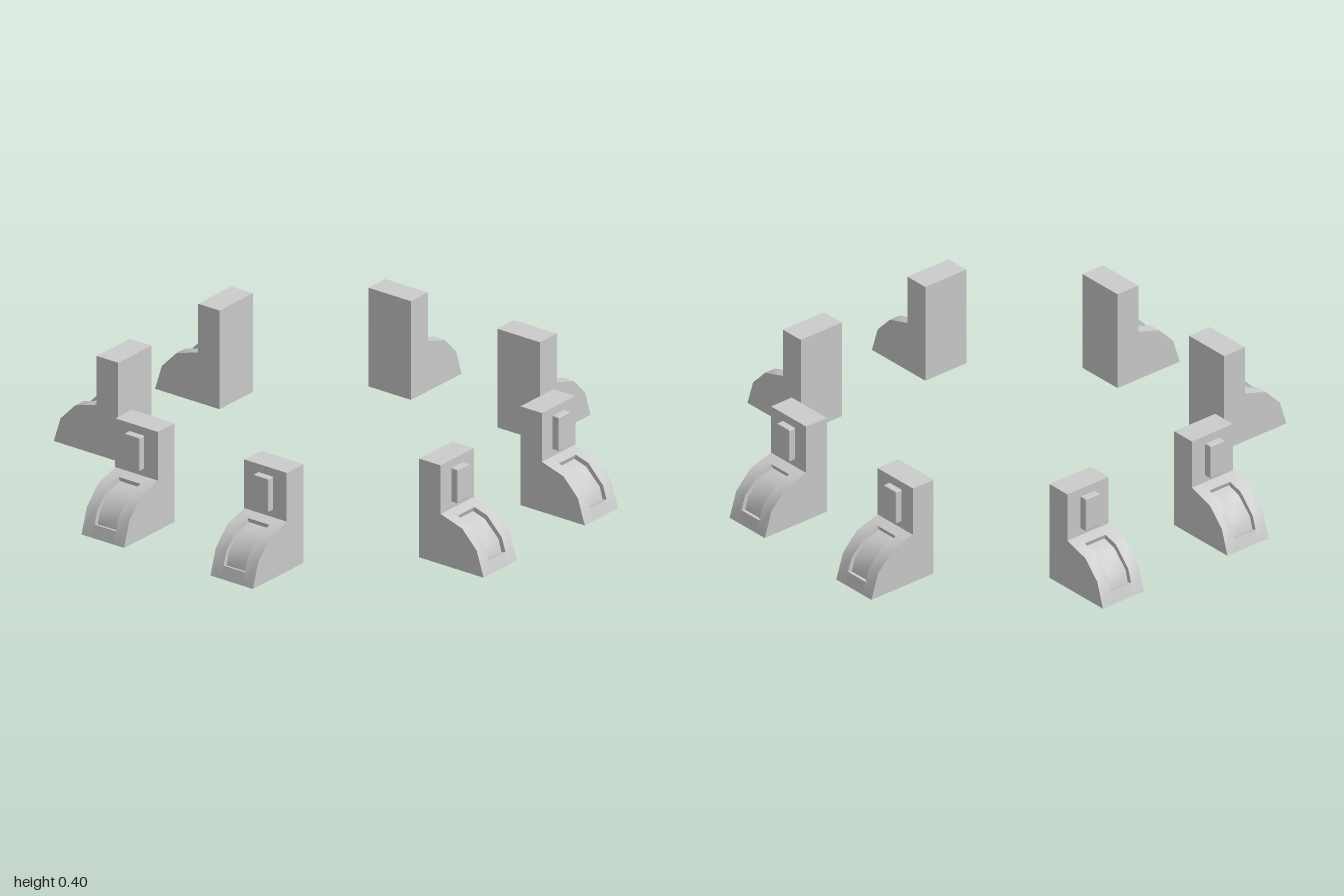
import * as THREE from 'three';
import { mergeGeometries, toCreasedNormals } from 'three/addons/utils/BufferGeometryUtils.js';
import { RoundedBoxGeometry } from 'three/addons/geometries/RoundedBoxGeometry.js';

const WIDTH = 0.198;        // width of one block
const RECESS_WIDTH = 0.1;   // width of the sunken panel on the toe
const HEIGHT = 0.395;

// Toe outline from the ground up to the upright, as [distance from centre, height]
const toe = [[1, 0], [0.968, 0.1], [0.9, 0.17], [0.8, 0.2]];

// The same outline with the sunken panel cut into it
const recessedToe = [
  [1, 0], [0.985, 0.048], [0.966, 0.042], [0.953, 0.09],
  [0.89, 0.153], [0.835, 0.17], [0.841, 0.188], [0.8, 0.2],
];

// Extrude an L-shaped side profile into a slab between z0 and z1
function slab(toePoints, z0, z1) {
  const points = [[0.7, 0], ...toePoints, [0.8, HEIGHT], [0.7, HEIGHT]];
  const shape = new THREE.Shape(points.map(([x, y]) => new THREE.Vector2(x, y)));
  const geometry = new THREE.ExtrudeGeometry(shape, { depth: z1 - z0, bevelEnabled: false });
  return geometry.translate(0, 0, z0);
}

export function createModel() {
  const model = new THREE.Group();
  model.name = 'blockRing';
  const material = new THREE.MeshStandardMaterial({ color: 0xcccccc });

  // Body: full profile at both sides, recessed profile in the middle
  const half = WIDTH / 2, inner = RECESS_WIDTH / 2;
  const bodyGeometry = toCreasedNormals(mergeGeometries([
    slab(toe, -half, -inner),
    slab(recessedToe, -inner, inner),
    slab(toe, inner, half),
  ]), 0.6);

  // Raised pad on the face of the upright
  const padGeometry = new RoundedBoxGeometry(0.04, 0.135, 0.07, 2, 0.004);
  padGeometry.translate(0.808, 0.295, 0);

  // Two blocks on each of the four sides, facing outwards
  ['left', 'back', 'right', 'front'].forEach((sideName, i) => {
    const side = new THREE.Group();
    side.name = sideName + 'Pair';
    side.rotation.y = i * Math.PI / 2;
    for (const z of [-0.3, 0.3]) {
      const block = new THREE.Group();
      block.name = 'block';
      block.position.z = z;
      const body = new THREE.Mesh(bodyGeometry, material);
      body.name = 'body';
      const pad = new THREE.Mesh(padGeometry, material);
      pad.name = 'pad';
      block.add(body, pad);
      side.add(block);
    }
    model.add(side);
  });
  return model;
}
